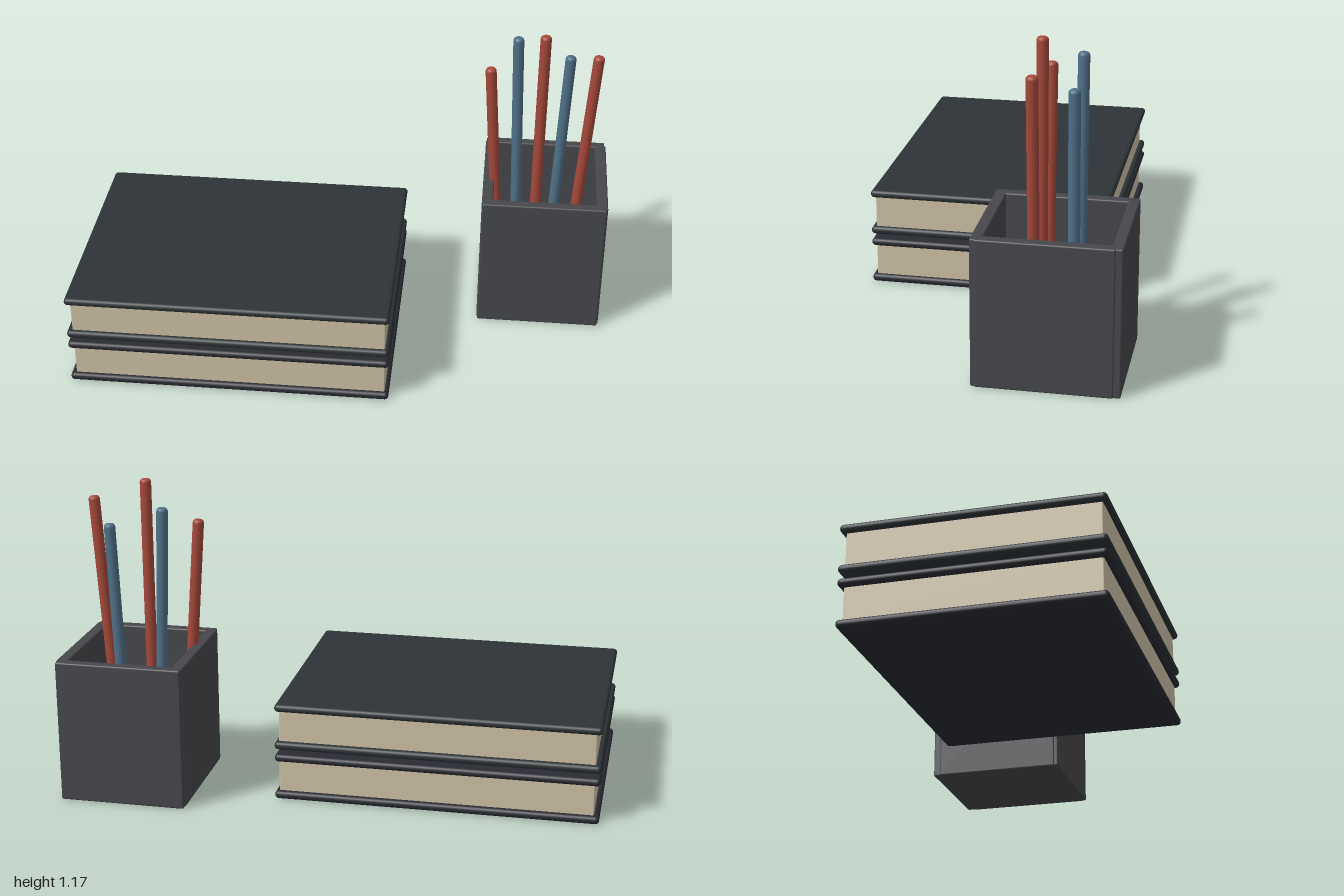
import * as THREE from 'three';
import { RoundedBoxGeometry } from 'three/addons/geometries/RoundedBoxGeometry.js';

const paint = (color) => new THREE.MeshStandardMaterial({ color });

// Rounded slab given by its min and max corners
function slab(name, [x0, y0, z0], [x1, y1, z1], radius, material) {
  const geo = new RoundedBoxGeometry(x1 - x0, y1 - y0, z1 - z0, 3, radius);
  const mesh = new THREE.Mesh(geo, material);
  mesh.position.set((x0 + x1) / 2, (y0 + y1) / 2, (z0 + z1) / 2);
  mesh.name = name;
  return mesh;
}

// Two covers with an inset block of pages between them
function book(name, y, coverMat, pageMat) {
  const g = new THREE.Group();
  g.name = name;
  g.add(
    slab('bottomCover', [-1, y, -0.38], [0.21, y + 0.03, 0.535], 0.014, coverMat),
    slab('pages', [-0.98, y + 0.025, -0.36], [0.195, y + 0.155, 0.517], 0.004, pageMat),
    slab('topCover', [-1, y + 0.149, -0.38], [0.21, y + 0.178, 0.535], 0.014, coverMat)
  );
  return g;
}

// Open square holder: floor and four walls
function holder(mat) {
  const g = new THREE.Group();
  g.name = 'penHolder';
  const H = 0.543;
  g.add(
    slab('holderFloor', [0.525, 0, -0.53], [0.99, 0.04, -0.025], 0.005, mat),
    slab('frontWall', [0.52, 0, -0.062], [0.995, H, -0.02], 0.006, mat),
    slab('backWall', [0.52, 0, -0.537], [0.995, H, -0.497], 0.006, mat),
    slab('leftWall', [0.957, 0, -0.512], [1, H, -0.035], 0.006, mat),
    slab('rightWall', [0.517, 0, -0.512], [0.56, H, -0.035], 0.006, mat)
  );
  return g;
}

// Round stick with softened ends, from base to tip
function pencil(name, base, tip, material) {
  const a = new THREE.Vector3(...base), b = new THREE.Vector3(...tip);
  const dir = b.clone().sub(a), len = dir.length(), r = 0.021, e = 0.013;
  const profile = [new THREE.Vector2(0, 0)];
  for (let i = 0; i <= 4; i++) {
    const t = (i / 4) * Math.PI / 2;
    profile.push(new THREE.Vector2(r - e + e * Math.sin(t), e - e * Math.cos(t)));
  }
  for (let i = 0; i <= 4; i++) {
    const t = (i / 4) * Math.PI / 2;
    profile.push(new THREE.Vector2(r - e + e * Math.cos(t), len - e + e * Math.sin(t)));
  }
  profile.push(new THREE.Vector2(0, len));
  const mesh = new THREE.Mesh(new THREE.LatheGeometry(profile, 20), material);
  mesh.position.copy(a);
  mesh.quaternion.setFromUnitVectors(new THREE.Vector3(0, 1, 0), dir.normalize());
  mesh.name = name;
  return mesh;
}

export function createModel() {
  const model = new THREE.Group();
  model.name = 'deskSet';
  const pages = paint(0xcfc2a6), red = paint(0xa5483a), blue = paint(0x4f7088);

  // Stacked books
  model.add(
    book('lowerBook', 0.002, paint(0x2a2b33), pages),
    book('upperBook', 0.2, paint(0x2d3336), pages)
  );

  // Holder with pencils
  model.add(holder(paint(0x47484c)));
  const pencils = [
    [0.595, 0.525, 1.03, -0.22, red],
    [0.725, 0.725, 1.175, -0.22, red],
    [0.86, 0.928, 1.1, -0.22, red],
    [0.66, 0.624, 1.1, -0.345, blue],
    [0.79, 0.828, 1.03, -0.345, blue],
  ];
  pencils.forEach(([x0, x1, top, z, mat], i) =>
    model.add(pencil(`pencil${i + 1}`, [x0, 0.06, z], [x1, top, z], mat)));
  return model;
}
